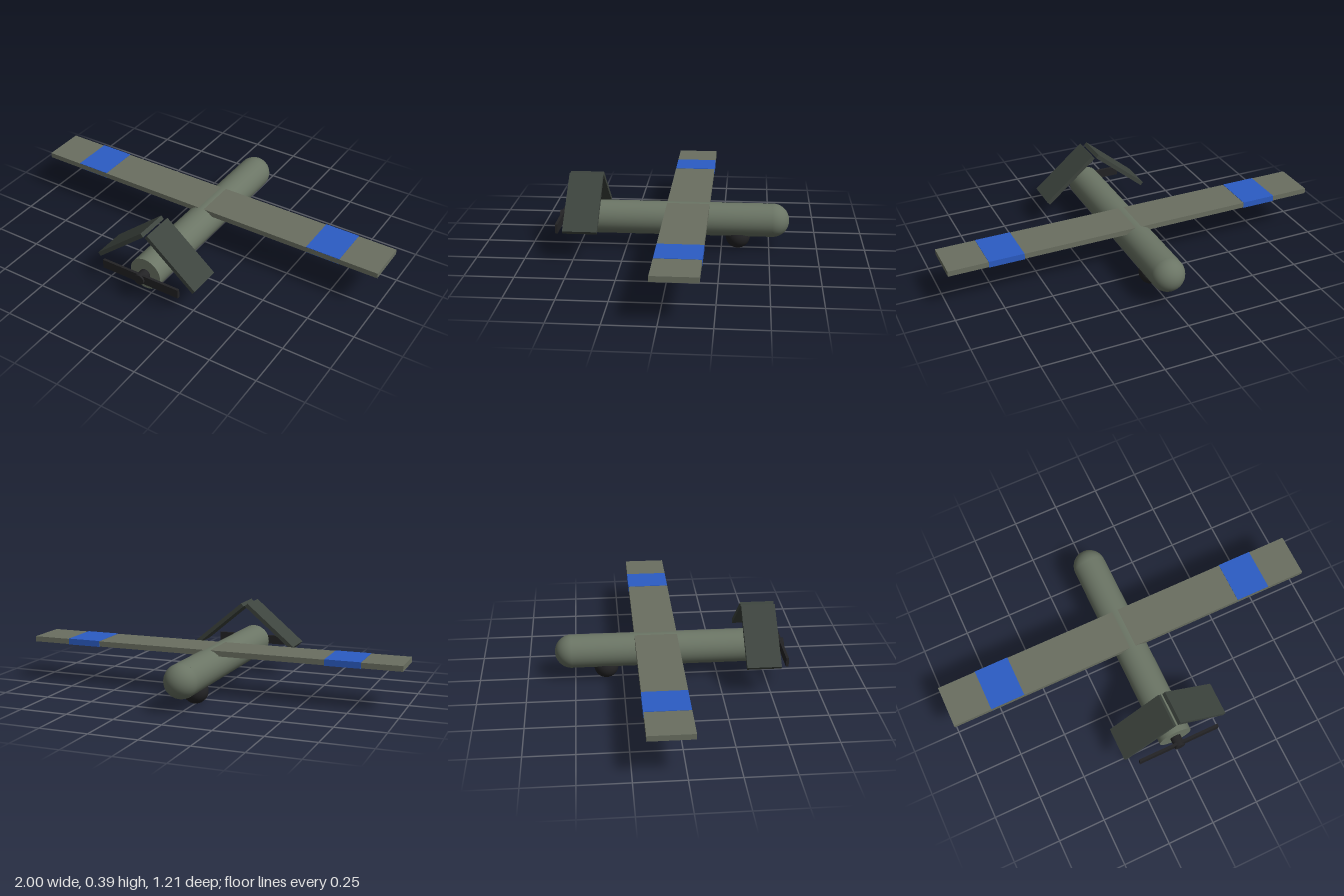
import * as THREE from 'three';

const mat = (name, color) => Object.assign(new THREE.MeshStandardMaterial({ color }), { name });

export function createModel() {
  const bodyGreen = mat('body grey green', 0x6b7565);
  const wingGreen = mat('wing grey green', 0x6a6f61);
  const tailGreen = mat('dark tail green', 0x3d443e);
  const blue = mat('blue', 0x2b5cc4);
  const black = mat('near black', 0x232325);

  const model = new THREE.Group();
  model.name = 'droneAircraft';
  const add = (name, geometry, material, x, y, z) => {
    const mesh = new THREE.Mesh(geometry, material);
    mesh.name = name;
    mesh.position.set(x, y, z);
    model.add(mesh);
    return mesh;
  };

  // Fuselage tube with rounded nose at -z
  const r = 0.0875, bodyY = 0.156;
  const tube = new THREE.CylinderGeometry(r, r, 1.06, 32).rotateX(Math.PI / 2);
  add('fuselage', tube, bodyGreen, 0, bodyY, 0.015);
  add('nose', new THREE.SphereGeometry(r, 32, 20), bodyGreen, 0, bodyY, -0.515);

  // Camera ball under the nose
  add('sensorBall', new THREE.SphereGeometry(0.064, 28, 18), black, 0, 0.066, -0.336);

  // Straight wing
  const wingY = 0.228, wingZ = -0.075;
  add('wing', new THREE.BoxGeometry(2, 0.028, 0.222), wingGreen, 0, wingY, wingZ);

  for (const side of [-1, 1]) {
    // Blue band wrapped around the wing
    const band = new THREE.BoxGeometry(0.182, 0.032, 0.223);
    add(side > 0 ? 'leftWingBand' : 'rightWingBand', band, blue, side * 0.705, wingY, wingZ - 0.001);

    // Inverted V tail
    const fin = new THREE.BoxGeometry(0.352, 0.022, 0.176);
    const tail = add(side > 0 ? 'leftTailFin' : 'rightTailFin', fin, tailGreen, side * 0.146, 0.274, 0.457);
    tail.rotation.z = -side * THREE.MathUtils.degToRad(40);
  }

  // Pusher propeller
  const hub = new THREE.CylinderGeometry(0.028, 0.028, 0.06, 20).rotateX(Math.PI / 2);
  add('propellerHub', hub, black, 0, 0.157, 0.573);
  add('propellerBlade', new THREE.BoxGeometry(0.444, 0.048, 0.014), black, 0, 0.158, 0.586);

  return model;
}
